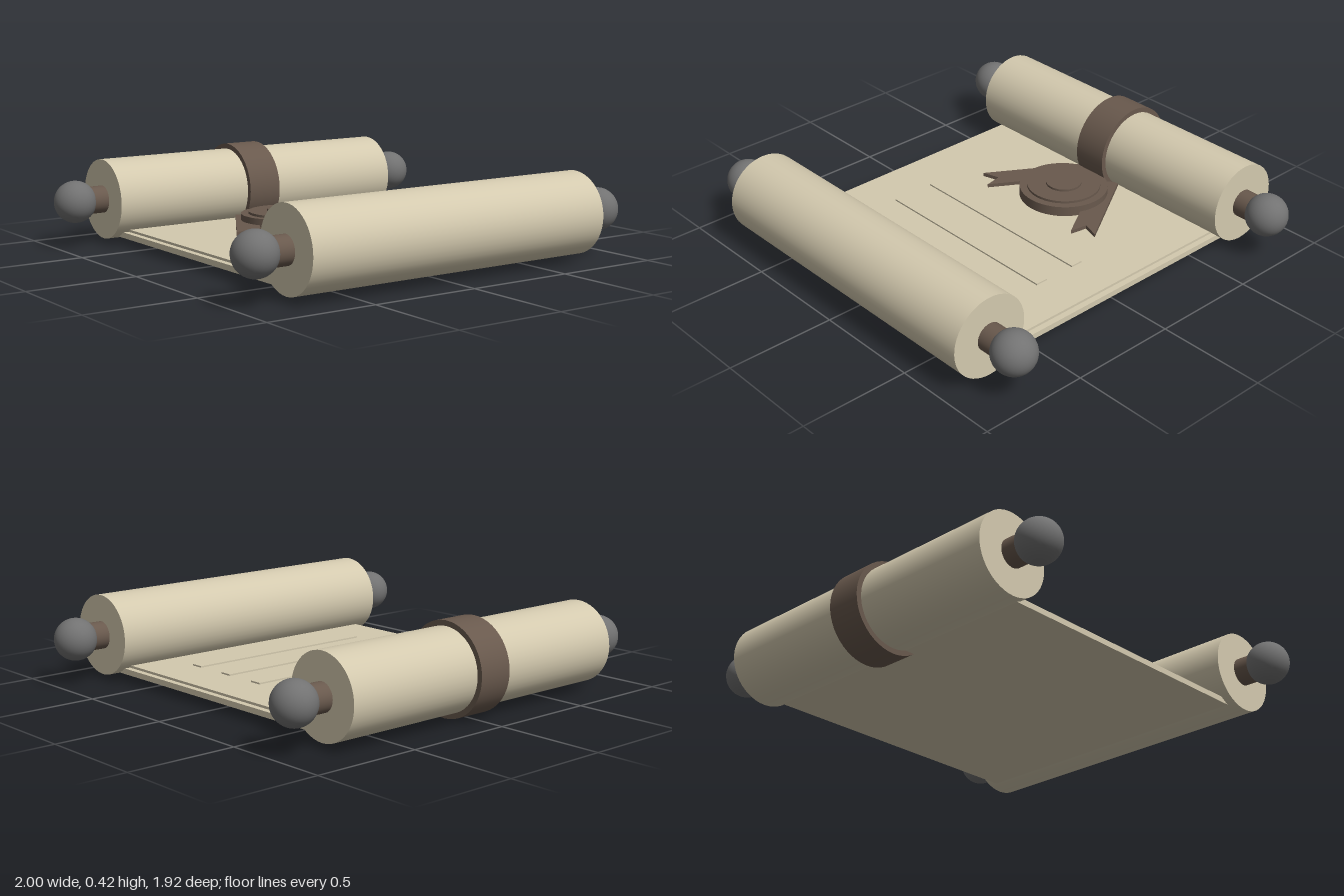
import * as THREE from 'three';

export function createModel() {
  const model = new THREE.Group();
  model.name = 'scroll';

  const mat = (name, color) => {
    const m = new THREE.MeshStandardMaterial({ color });
    m.name = name;
    return m;
  };
  const parchment = mat('parchment', 0xd3c9ae);
  const brown = mat('brown', 0x69594d);
  const grey = mat('knob grey', 0x727272);

  const add = (name, geometry, material, x, y, z, parent = model) => {
    const mesh = new THREE.Mesh(geometry, material);
    mesh.name = name;
    mesh.position.set(x, y, z);
    parent.add(mesh);
    return mesh;
  };
  // Cylinder lying along x
  const barX = (r, length) => new THREE.CylinderGeometry(r, r, length, 48).rotateZ(Math.PI / 2);

  const axisY = 0.212, frontZ = 0.772, backZ = -0.752;

  // Rolled ends with rods and round knobs
  for (const [name, z] of [['frontRoller', frontZ], ['backRoller', backZ]]) {
    const roller = new THREE.Group();
    roller.name = name;
    roller.position.set(0, axisY, z);
    model.add(roller);
    add('roll', barX(0.185, 1.524), parchment, 0, 0, 0, roller);
    for (const s of [-1, 1]) {
      add('rod', barX(0.063, 0.12), brown, s * 0.8, 0, 0, roller);
      add('knob', new THREE.SphereGeometry(0.097, 32, 24), grey, s * 0.903, 0, 0, roller);
    }
  }

  // Band around the back roll
  add('band', barX(0.209, 0.166), brown, 0, axisY, backZ);

  // Open sheet: wide lower layer and slightly narrower upper layer
  add('sheetLower', new THREE.BoxGeometry(1.44, 0.026, 1.46), parchment, 0, 0.054, 0.01);
  add('sheetUpper', new THREE.BoxGeometry(1.384, 0.011, 1.46), parchment, 0, 0.0725, 0.01);

  // Raised writing bars
  for (let i = 0; i < 3; i++) {
    add('writingBar', new THREE.BoxGeometry(0.96, 0.008, 0.06), parchment, 0, 0.081, 0.01 + i * 0.21);
  }

  // Stepped round seal
  for (const [r, bottom, top] of [[0.207, 0.078, 0.125], [0.172, 0.125, 0.136], [0.083, 0.136, 0.146]]) {
    add('seal', new THREE.CylinderGeometry(r, r, top - bottom, 48), brown, 0, (top + bottom) / 2, -0.376);
  }

  // Swallow-tailed ribbons, drawn from the notched end backwards
  const tail = new THREE.Shape();
  tail.moveTo(-0.055, 0);
  tail.lineTo(0, -0.062);
  tail.lineTo(0.055, 0);
  tail.lineTo(0.055, -0.48);
  tail.lineTo(-0.055, -0.48);
  tail.closePath();
  const tailGeometry = new THREE.ExtrudeGeometry(tail, { depth: 0.017, bevelEnabled: false })
    .rotateX(Math.PI / 2);
  for (const s of [-1, 1]) {
    const ribbon = add('ribbon', tailGeometry, brown, s * 0.328, 0.095, -0.178);
    ribbon.rotation.y = s * 0.55;
  }

  return model;
}
